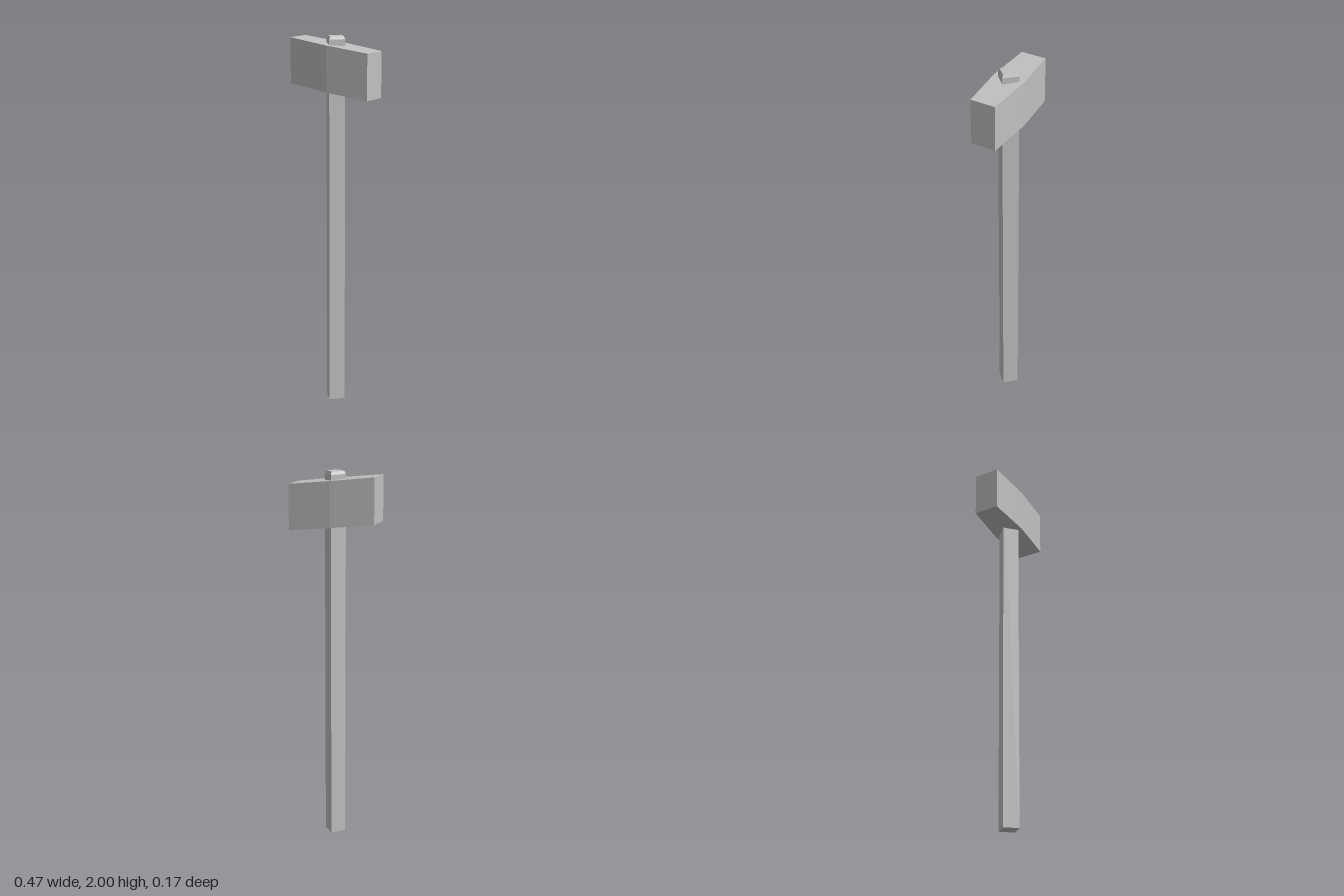
import * as THREE from 'three';

// Give every face its own flat normal
function faceted(geometry) {
  const flat = geometry.index ? geometry.toNonIndexed() : geometry;
  flat.computeVertexNormals();
  return flat;
}

export function createModel() {
  const group = new THREE.Group();
  group.name = 'sledgehammer';
  const grey = new THREE.MeshStandardMaterial({ color: 0xc0c0c0 });
  grey.name = 'plain grey';

  // Handle: four-sided shaft set corner-on, with a small chamfer at the top
  const profile = [[0, 0], [1, 0], [1, 1.985], [0.84, 2], [0, 2]]
    .map(([r, y]) => new THREE.Vector2(r, y));
  const shaft = new THREE.LatheGeometry(profile, 4);
  shaft.scale(0.058, 1, 0.062);
  shaft.translate(0.002, 0, 0);
  const handle = new THREE.Mesh(faceted(shaft), grey);
  handle.name = 'handle';
  group.add(handle);

  // Head: block bulging at the middle, sheared so its +x end sits lower
  const plan = new THREE.Shape([
    [-0.235, -0.069], [0, -0.086], [0.235, -0.069],
    [0.235, 0.069], [0, 0.086], [-0.235, 0.069],
  ].map(([x, z]) => new THREE.Vector2(x, z)));
  const block = new THREE.ExtrudeGeometry(plan, { depth: 0.24, bevelEnabled: false });
  block.rotateX(-Math.PI / 2);
  const p = block.attributes.position;
  for (let i = 0; i < p.count; i++) {
    p.setY(i, p.getY(i) + 1.717 - 0.117 * p.getX(i));
  }
  const head = new THREE.Mesh(faceted(block), grey);
  head.name = 'hammerHead';
  group.add(head);

  return group;
}
